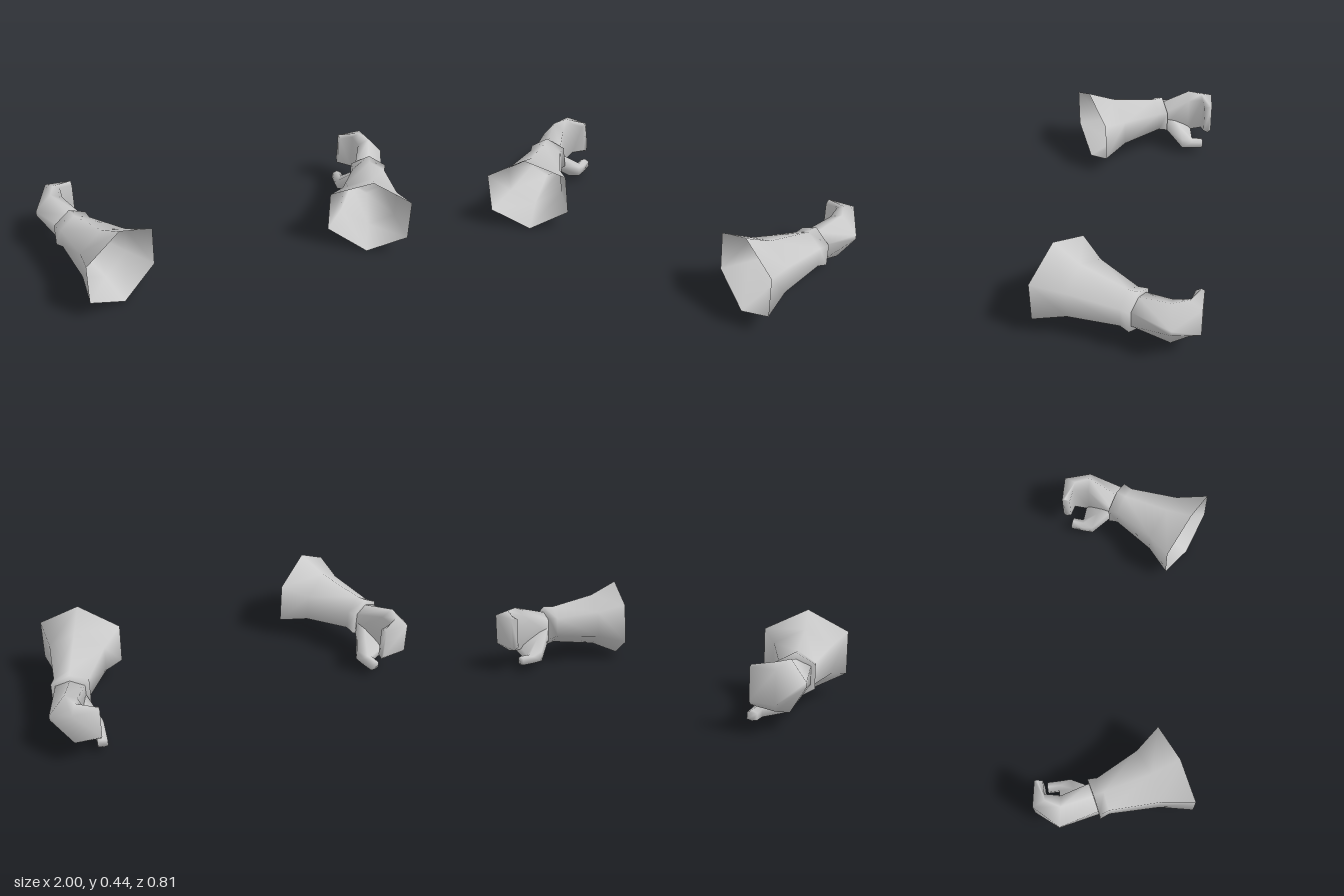
import * as THREE from 'three';

const material = new THREE.MeshStandardMaterial({ color: 0xcccccc, side: THREE.DoubleSide });

// One six-sided cross-section; every argument is [x, z, upper y, lower y].
function ring(outer, mid, inner) {
  const upper = ([x, z, y]) => [x, y, z], lower = ([x, z, , y]) => [x, y, z];
  return [upper(outer), upper(mid), upper(inner), lower(inner), lower(mid), lower(outer)];
}

// Smooth skin over a row of cross-sections, closed at the far end and, unless open, at the start.
// Side -1 builds the mirror image.
function loft(name, rings, side, open = false) {
  const n = 6, index = [];
  const positions = rings.flat().flatMap(([x, y, z]) => [x * side, y, z]);
  const tri = (a, b, c) => (side > 0 ? index.push(a, b, c) : index.push(a, c, b));
  for (let i = 0; i < rings.length - 1; i++) {
    for (let k = 0; k < n; k++) {
      const a = i * n + k, b = i * n + (k + 1) % n;
      tri(a, a + n, b);
      tri(b, a + n, b + n);
    }
  }
  const last = (rings.length - 1) * n;
  for (let k = 1; k < n - 1; k++) {
    if (!open) tri(0, k, k + 1);
    tri(last, last + k + 1, last + k);
  }
  const geometry = new THREE.BufferGeometry();
  geometry.setAttribute('position', new THREE.Float32BufferAttribute(positions, 3));
  geometry.setIndex(index);
  geometry.computeVertexNormals();
  const mesh = new THREE.Mesh(geometry, material);
  mesh.name = name;
  return mesh;
}

// Flared open sleeve, narrowing to the wrist and ending in a small cuff
const sleeve = [
  ring([0.85, 0.405, 0.33, 0.11], [0.665, 0.315, 0.435, 0.0], [0.48, 0.2, 0.33, 0.11]),
  ring([0.853, 0.235, 0.29, 0.145], [0.73, 0.18, 0.365, 0.07], [0.6, 0.1, 0.29, 0.145]),
  ring([0.906, -0.02, 0.265, 0.16], [0.826, -0.05, 0.317, 0.108], [0.746, -0.09, 0.265, 0.16]),
  ring([0.933, -0.064, 0.268, 0.15], [0.845, -0.1, 0.323, 0.093], [0.757, -0.139, 0.268, 0.15]),
];

// Palm and joined fingers, curling inwards
const hand = [
  ring([0.912, -0.07, 0.26, 0.17], [0.845, -0.1, 0.29, 0.14], [0.775, -0.125, 0.26, 0.17]),
  ring([1.0, -0.26, 0.24, 0.215], [0.915, -0.255, 0.333, 0.08], [0.853, -0.26, 0.3, 0.1]),
  ring([0.922, -0.395, 0.312, 0.15], [0.888, -0.335, 0.333, 0.1], [0.853, -0.342, 0.31, 0.12]),
  ring([0.788, -0.4, 0.305, 0.145], [0.787, -0.385, 0.314, 0.125], [0.785, -0.358, 0.3, 0.14]),
];

// Thumb, with a broad base merging into the underside of the palm
const thumb = [
  ring([0.9, -0.1, 0.2, 0.15], [0.84, -0.11, 0.25, 0.14], [0.784, -0.123, 0.22, 0.15]),
  ring([0.91, -0.265, 0.13, 0.083], [0.79, -0.21, 0.16, 0.037], [0.73, -0.235, 0.1, 0.045]),
  ring([0.79, -0.29, 0.08, 0.042], [0.764, -0.29, 0.088, 0.037], [0.738, -0.29, 0.08, 0.042]),
  ring([0.8, -0.347, 0.075, 0.042], [0.775, -0.352, 0.088, 0.037], [0.75, -0.357, 0.075, 0.042]),
];

export function createModel() {
  const model = new THREE.Group();
  model.name = 'forearms';
  for (const [name, side] of [['leftArm', 1], ['rightArm', -1]]) {
    const arm = new THREE.Group();
    arm.name = name;
    arm.add(loft('sleeve', sleeve, side, true), loft('hand', hand, side), loft('thumb', thumb, side));
    model.add(arm);
  }
  return model;
}
